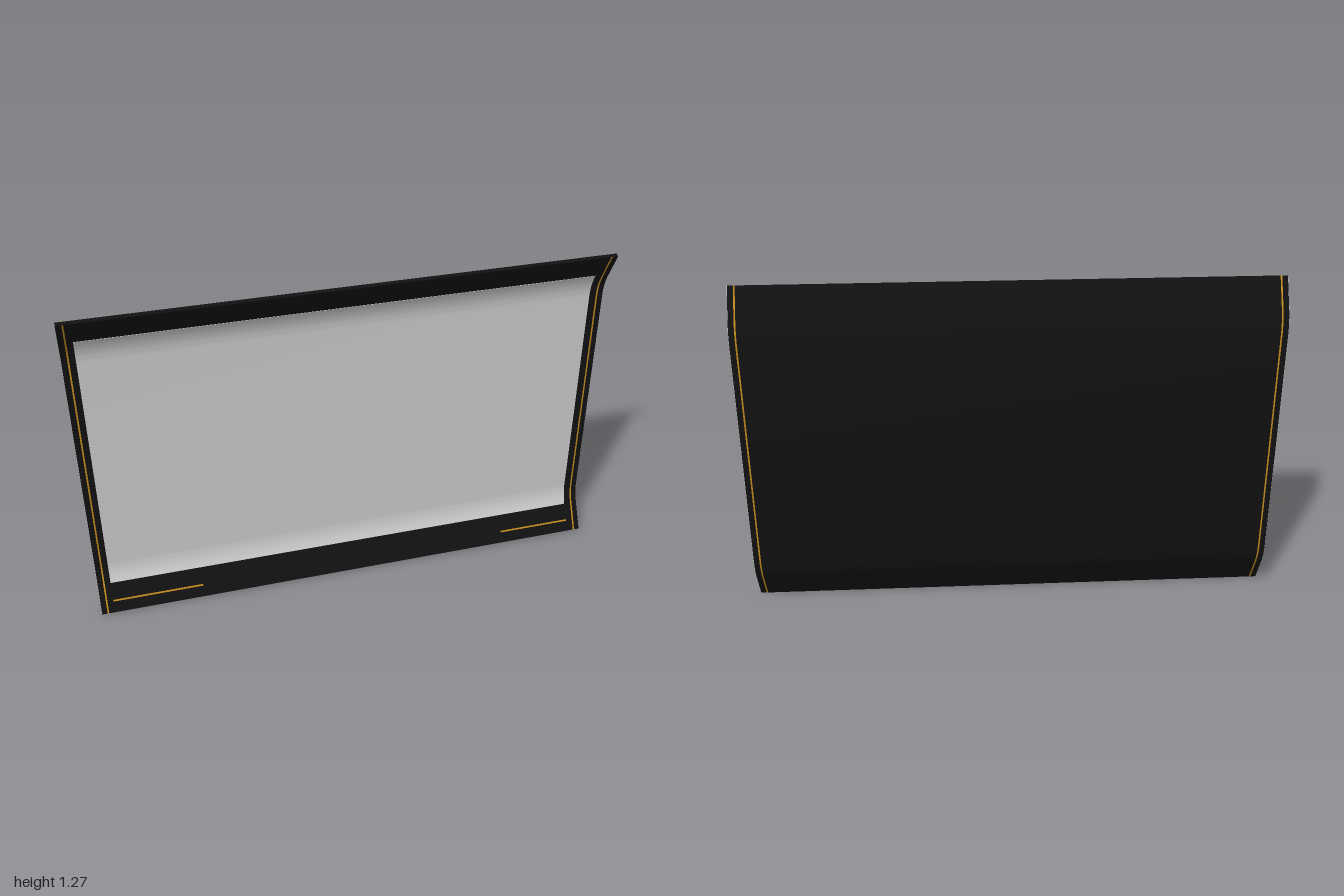
import * as THREE from 'three';
import { toCreasedNormals } from 'three/addons/utils/BufferGeometryUtils.js';

const HEIGHT = 1.27, HALF = 0.007; // overall height, half thickness

// Centre line of the sheet as (z, y): flat middle, both edges bent forward
function buildProfile() {
  const tip = new THREE.Vector2(0.038, 0.003);
  const bend = new THREE.QuadraticBezierCurve(
    new THREE.Vector2(-0.015, 0.105), new THREE.Vector2(-0.038, 0.15), new THREE.Vector2(-0.038, 0.198));
  const lower = [tip, ...bend.getPoints(10)];
  const upper = lower.map(p => new THREE.Vector2(p.x, HEIGHT - p.y)).reverse();
  return [...lower, ...upper];
}
const profile = buildProfile();

// Part of the centre line between two heights
function clip(y0, y1) {
  const at = y => {
    const i = Math.max(1, profile.findIndex(p => p.y >= y));
    const a = profile[i - 1], b = profile[i];
    return a.clone().lerp(b, (y - a.y) / (b.y - a.y));
  };
  return [at(y0), ...profile.filter(p => p.y > y0 + 1e-4 && p.y < y1 - 1e-4), at(y1)];
}

// Bent slab following the profile, from depth d0 to d1 off the centre line
function slab(name, material, x0, x1, d0, d1, line = profile) {
  const offset = d => line.map((p, i) => {
    const t = line[Math.min(i + 1, line.length - 1)].clone().sub(line[Math.max(i - 1, 0)]).normalize();
    return new THREE.Vector2(-(p.x + t.y * d), p.y - t.x * d);
  });
  const shape = new THREE.Shape([...offset(d0), ...offset(d1).reverse()]);
  let geo = new THREE.ExtrudeGeometry(shape, { depth: x1 - x0, bevelEnabled: false });
  geo.rotateY(Math.PI / 2);
  geo.translate(x0, 0, 0);
  geo = toCreasedNormals(geo, 0.6);
  const mesh = new THREE.Mesh(geo, material);
  mesh.name = name;
  return mesh;
}

export function createModel() {
  const group = new THREE.Group();
  group.name = 'bentScreen';
  const black = new THREE.MeshStandardMaterial({ color: 0x111111 });
  const grey = new THREE.MeshStandardMaterial({ color: 0xcccccc });
  const gold = new THREE.MeshStandardMaterial({ color: 0xc28a1c });

  // Black body and the pale display on its front
  group.add(slab('body', black, -0.999, 0.999, -HALF, HALF));
  group.add(slab('display', grey, -0.95, 0.945, HALF - 0.002, HALF + 0.001, clip(0.107, 1.175)));

  // Pale edge caps and gold side stripes that show front and back
  for (const [side, s] of [['left', 1], ['right', -1]]) {
    const span = (a, b) => (s > 0 ? [a, b] : [-b, -a]);
    group.add(slab(side + 'EdgeCap', grey, ...span(0.998, 1), -0.0055, 0.0055));
    group.add(slab(side + 'Stripe', gold, ...span(0.972, 0.978), -HALF - 0.0008, HALF + 0.0008));
  }

  // Short gold lines on the lower lip
  const lip = clip(0.041, 0.047);
  group.add(slab('lowerRightLine', gold, -0.95, -0.6, HALF - 0.002, HALF + 0.001, lip));
  group.add(slab('lowerLeftLine', gold, 0.65, 0.945, HALF - 0.002, HALF + 0.001, lip));
  return group;
}
